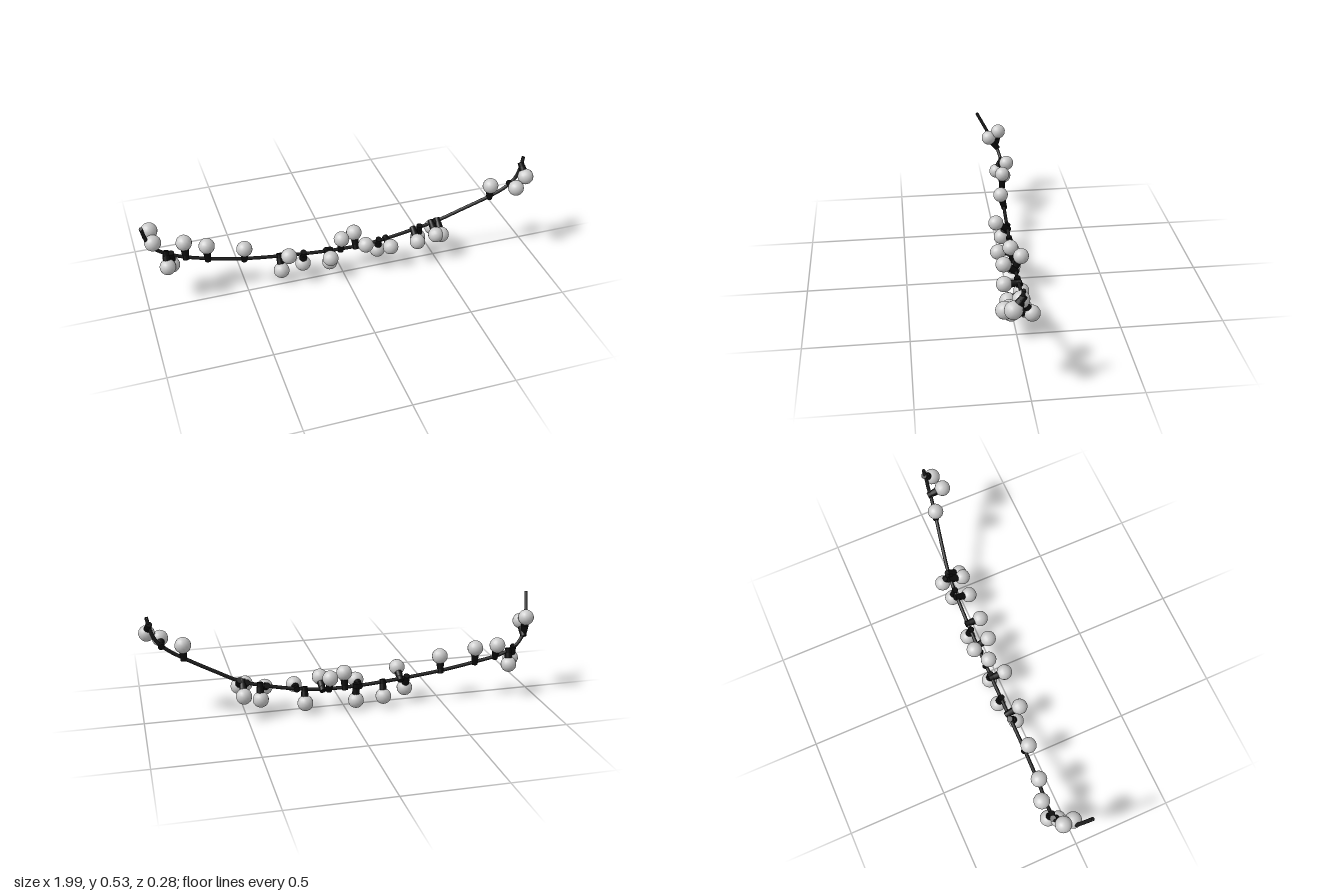
import * as THREE from 'three';

const BULB_R = 0.04, CABLE_R = 0.009;

// Sagging cable, from one hung end to the other (x, y, z)
const CABLE = [
  [-0.99, 0.52, 0.045], [-0.97, 0.41, -0.015], [-0.945, 0.335, -0.058], [-0.895, 0.275, -0.08],
  [-0.82, 0.235, -0.08], [-0.69, 0.2, -0.067], [-0.5, 0.163, -0.056], [-0.3, 0.138, -0.051],
  [-0.1, 0.12, -0.047], [0.03, 0.115, -0.045], [0.13, 0.117, -0.043], [0.25, 0.13, -0.041],
  [0.39, 0.157, -0.037], [0.52, 0.19, -0.029], [0.65, 0.25, -0.008], [0.79, 0.32, 0.018],
  [0.865, 0.365, 0.03], [0.915, 0.412, 0.034], [0.942, 0.48, 0.035], [0.953, 0.535, 0.031],
].map(p => new THREE.Vector3(...p));

// Bulb centres (x, y, z); each hangs off the cable at its own x
const BULBS = [
  [-0.945, 0.42, -0.073], [-0.94, 0.385, -0.018], [-0.88, 0.2, -0.055], [-0.855, 0.18, -0.095],
  [-0.785, 0.292, -0.102], [-0.68, 0.273, -0.067], [-0.5, 0.235, -0.038], [-0.32, 0.073, -0.02],
  [-0.287, 0.177, 0.012], [-0.195, 0.056, -0.065], [-0.073, 0.123, 0.025], [-0.055, 0.042, -0.051],
  [0.002, 0.188, -0.03], [0.083, 0.182, -0.074], [0.117, 0.16, 0.018], [0.208, 0.056, -0.06],
  [0.248, 0.127, 0.03], [0.396, 0.127, 0.03], [0.43, 0.094, -0.05], [0.495, 0.152, 0.035],
  [0.515, 0.127, -0.07], [0.527, 0.143, 0.03], [0.79, 0.385, 0.02], [0.892, 0.403, 0.102],
  [0.955, 0.442, 0.073],
].map(p => new THREE.Vector3(...p));

// Point on the curve at a given x (x grows along the cable)
function pointAtX(curve, x) {
  let lo = 0, hi = 1;
  for (let i = 0; i < 30; i++) {
    const mid = (lo + hi) / 2;
    if (curve.getPoint(mid).x < x) lo = mid; else hi = mid;
  }
  return curve.getPoint(lo);
}

export function createModel() {
  const group = new THREE.Group();
  group.name = 'stringLights';
  const black = new THREE.MeshStandardMaterial({ color: 0x1c1c1c });
  const socketBlack = new THREE.MeshStandardMaterial({ color: 0x0a0a0a });
  const grey = new THREE.MeshStandardMaterial({ color: 0xcccccc });
  const curve = new THREE.CatmullRomCurve3(CABLE);

  const add = (parent, name, geometry, material) => {
    const mesh = new THREE.Mesh(geometry, material);
    mesh.name = name;
    parent.add(mesh);
    return mesh;
  };

  // Cable with closed ends
  add(group, 'cable', new THREE.TubeGeometry(curve, 160, CABLE_R, 10), black);
  for (const t of [0, 1]) {
    const cap = add(group, 'cableEnd', new THREE.CircleGeometry(CABLE_R, 10), black);
    cap.position.copy(curve.getPoint(t));
    const out = curve.getTangent(t).multiplyScalar(t ? 1 : -1);
    cap.quaternion.setFromUnitVectors(new THREE.Vector3(0, 0, 1), out);
  }

  // Shared lamp parts, built along +y from the cable
  const clipGeo = new THREE.CylinderGeometry(0.016, 0.016, 0.026, 12);
  const socketGeo = new THREE.CylinderGeometry(0.02, 0.017, 0.034, 12);
  const bulbGeo = new THREE.SphereGeometry(BULB_R, 16, 12);
  const up = new THREE.Vector3(0, 1, 0);

  for (const centre of BULBS) {
    const anchor = pointAtX(curve, Math.min(centre.x, 0.945));
    const dir = centre.clone().sub(anchor);
    const length = dir.length();
    const lamp = new THREE.Group();
    lamp.name = 'lamp';
    lamp.position.copy(anchor);
    lamp.quaternion.setFromUnitVectors(up, dir.normalize());
    add(lamp, 'clip', clipGeo, socketBlack);
    add(lamp, 'socket', socketGeo, socketBlack).position.y = 0.027;
    add(lamp, 'bulb', bulbGeo, grey).position.y = length;
    group.add(lamp);
  }
  return group;
}
